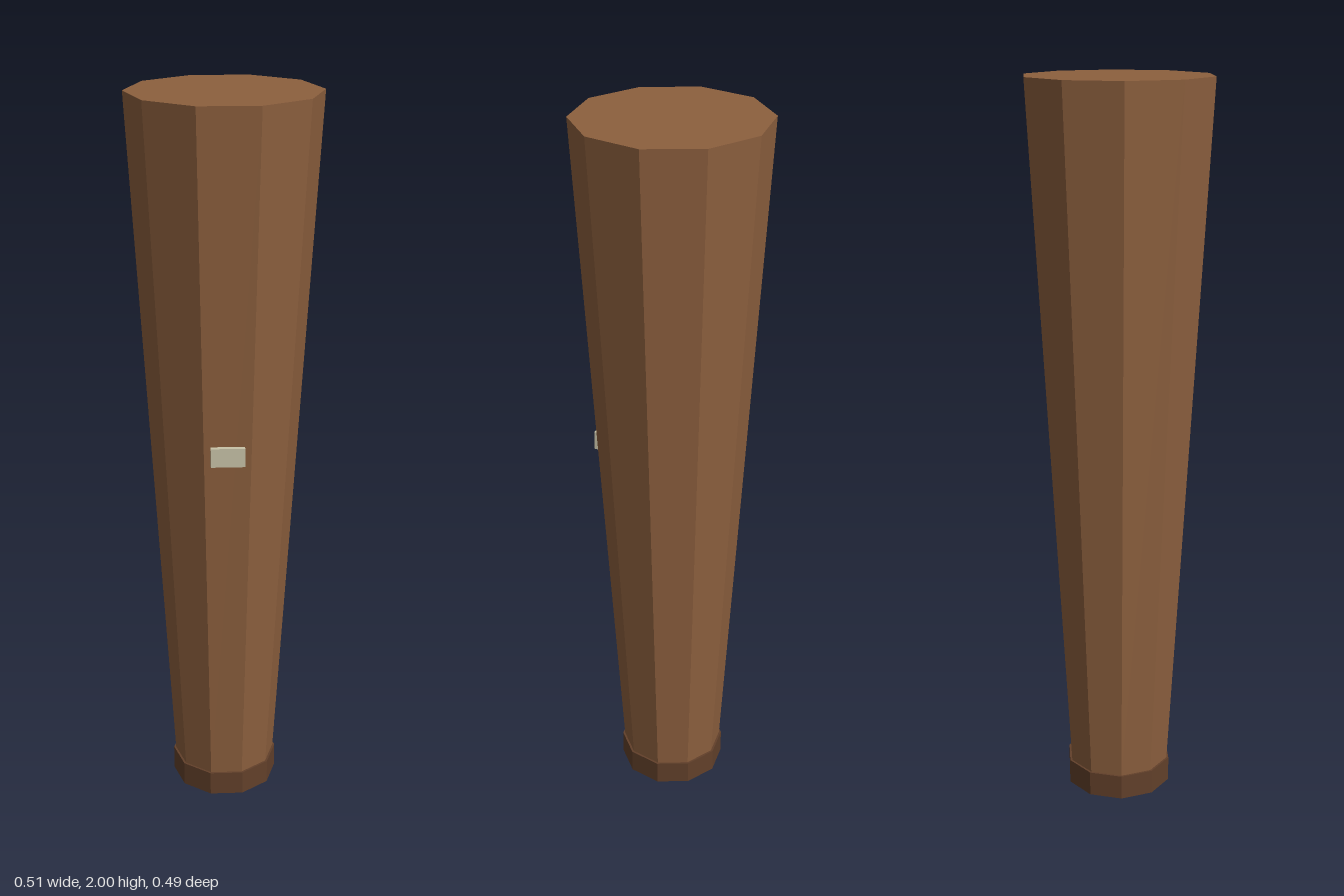
import * as THREE from 'three';

const material = (name, color) => {
  const m = new THREE.MeshStandardMaterial({ color, flatShading: true });
  m.name = name;
  return m;
};

export function createModel() {
  const group = new THREE.Group();
  group.name = 'taperedLeg';

  const wood = material('wood brown', 0x8d603e);
  const darkWood = material('dark wood', 0x62402a);
  const cream = material('pale cream', 0xc8c3a8);

  const add = (name, geometry, mat, y, z = 0) => {
    const mesh = new THREE.Mesh(geometry, mat);
    mesh.name = name;
    mesh.position.set(0, y, z);
    group.add(mesh);
  };

  // Ten-sided prism with corners on the x axis and a flat facing front
  const prism = (top, bottom, height) =>
    new THREE.CylinderGeometry(top, bottom, height, 10, 1, false, Math.PI / 2);

  // Shaft, widening upward from the foot
  add('shaft', prism(0.255, 0.144, 1.93), wood, 1.035);

  // Straight foot band
  add('foot', prism(0.15, 0.15, 0.07), darkWood, 0.035);

  // Small plate set into the front facet
  add('frontPlate', new THREE.BoxGeometry(0.09, 0.052, 0.02), cream, 1.09, 0.198);

  return group;
}
